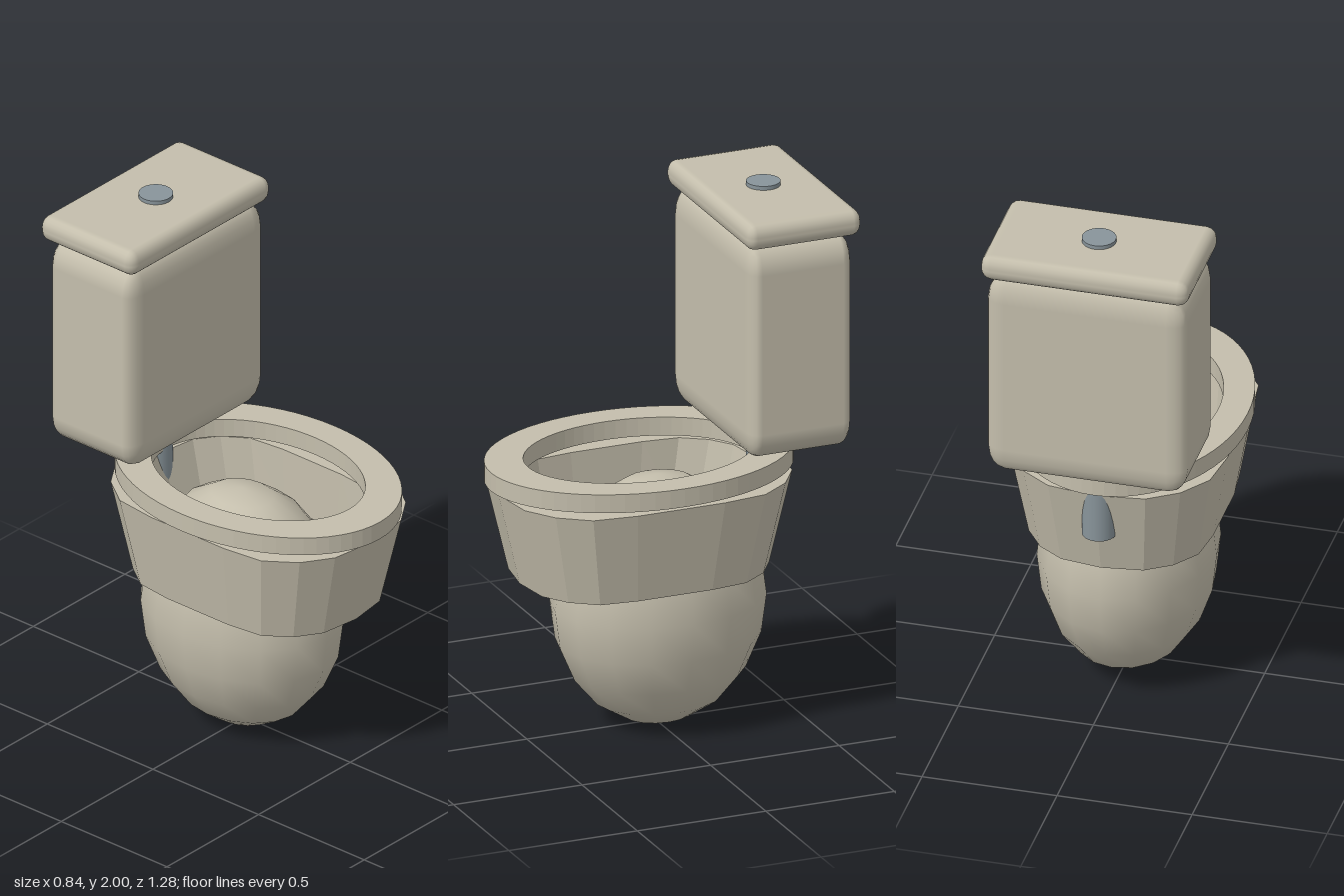
import * as THREE from 'three';
import { RoundedBoxGeometry } from 'three/addons/geometries/RoundedBoxGeometry.js';

const ceramic = new THREE.MeshStandardMaterial({ color: 0xc4beac });
const metal = new THREE.MeshStandardMaterial({ color: 0x88949a });
const CENTRE_Z = 0.065; // middle of the rim and seat

// Rounded box with a separate corner radius on each axis
function roundedBox([w, h, d], [rx, ry, rz]) {
  return new RoundedBoxGeometry(w / rx, h / ry, d / rz, 2, 1).scale(rx, ry, rz);
}

// Rounded-rectangle outline of the bowl, from the front round through +x
function bowlOutline() {
  const quarter = [[0, 0.545], [0.18, 0.52], [0.29, 0.447], [0.37, 0.335], [0.39, 0.17]];
  const half = [...quarter, ...quarter.slice(1).reverse().map(([x, z]) => [x, -z]), [0, -0.545]];
  return [...half, ...half.slice(1, -1).reverse().map(([x, z]) => [-x, z])];
}

// Faceted basin: rings from the underside, up the wall, over the rim and down to the floor
function basinGeometry() {
  const rings = [ // [y, x scale, z scale]
    [0.6, 0, 0], [0.6, 0.85, 0.85], [0.95, 1, 1],
    [0.95, 0.745, 0.82], [0.72, 0.73, 0.725], [0.72, 0, 0],
  ];
  const outline = bowlOutline();
  const n = outline.length;
  const points = rings.flatMap(([y, sx, sz]) =>
    outline.map(([x, z]) => new THREE.Vector3(x * sx, y, z * sz + CENTRE_Z)));
  const triangles = [];
  for (let r = 0; r < rings.length - 1; r++) {
    for (let i = 0; i < n; i++) {
      const j = (i + 1) % n;
      const a = r * n + i, b = r * n + j, c = b + n, d = a + n;
      if (rings[r][1] > 0) triangles.push(a, b, d);
      if (rings[r + 1][1] > 0) triangles.push(b, c, d);
    }
  }
  const geometry = new THREE.BufferGeometry().setFromPoints(triangles.map((k) => points[k]));
  geometry.computeVertexNormals();
  return geometry;
}

// Flat oval ring
function seatGeometry() {
  const shape = new THREE.Shape();
  shape.absellipse(0, 0, 0.42, 0.575, 0, Math.PI * 2);
  const hole = new THREE.Path();
  hole.absellipse(0, 0, 0.31, 0.43, 0, Math.PI * 2, true);
  shape.holes.push(hole);
  return new THREE.ExtrudeGeometry(shape, { depth: 0.07, bevelEnabled: false, curveSegments: 32 })
    .rotateX(-Math.PI / 2);
}

export function createModel() {
  const group = new THREE.Group();
  const add = (name, geometry, material, x, y, z) => {
    const mesh = new THREE.Mesh(geometry, material);
    mesh.name = name;
    mesh.position.set(x, y, z);
    group.add(mesh);
  };

  // Egg-shaped base, its top rising through the basin floor
  add('base', new THREE.SphereGeometry(1, 16, 10).scale(0.325, 0.47, 0.4), ceramic, 0, 0.47, -0.01);
  add('basin', basinGeometry(), ceramic, 0, 0, 0);
  add('seat', seatGeometry(), ceramic, 0, 0.97, CENTRE_Z);

  // Cistern and its lid
  add('tank', roundedBox([0.74, 0.81, 0.405], [0.07, 0.1, 0.045]), ceramic, 0, 1.48, -0.417);
  add('tankLid', roundedBox([0.77, 0.1, 0.445], [0.04, 0.045, 0.035]), ceramic, 0, 1.935, -0.422);

  // Flush pipe under the tank and push button on the lid
  add('flushPipe', new THREE.CylinderGeometry(0.062, 0.062, 0.36, 32), metal, 0, 0.94, -0.42);
  add('flushButton', new THREE.CylinderGeometry(0.062, 0.062, 0.06, 32), metal, 0, 1.97, -0.42);

  return group;
}
